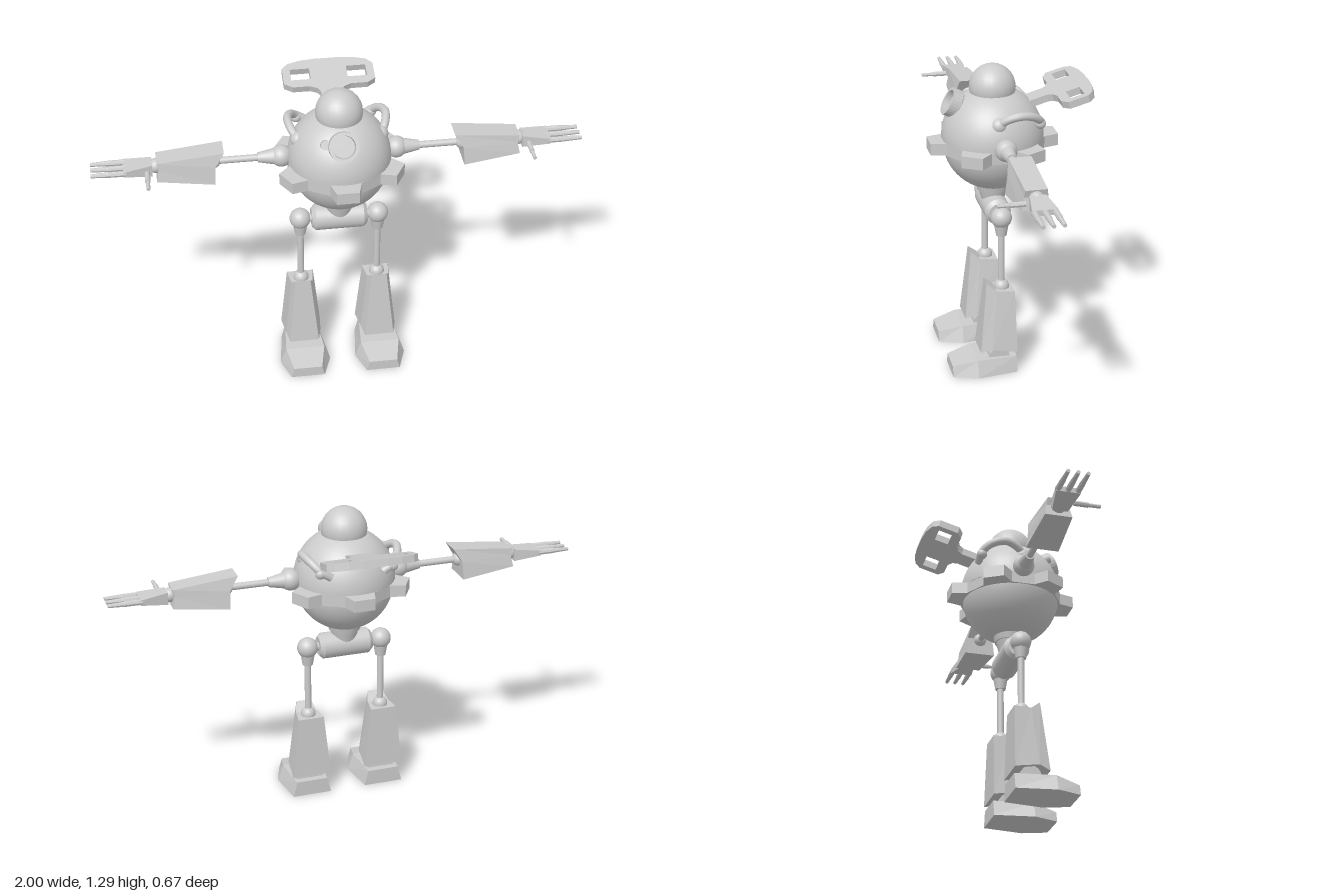
import * as THREE from 'three';

const Z = 0.07; // depth of the body axis
const smooth = new THREE.MeshStandardMaterial({ color: 0xcccccc });
const flat = new THREE.MeshStandardMaterial({ color: 0xcccccc, flatShading: true });
const open = new THREE.MeshStandardMaterial({ color: 0xcccccc, side: THREE.DoubleSide });

function add(parent, name, geo, pos = [0, 0, 0], mat = smooth) {
  const m = new THREE.Mesh(geo, mat);
  m.name = name;
  m.position.set(...pos);
  parent.add(m);
  return m;
}
const ball = (r) => new THREE.SphereGeometry(r, 24, 16);
const cyl = (rTop, rBottom, h, n = 20) => new THREE.CylinderGeometry(rTop, rBottom, h, n);
const cylX = (rOut, rIn, h, n) => cyl(rOut, rIn, h, n).rotateZ(-Math.PI / 2);

// Solid between two cross-sections, each given as its +x half from front to back.
function loft(low, high) {
  const v = [];
  const ring = (h) => [...h, ...h.map(([x, y, z]) => [-x, y, z]).reverse()];
  const quad = (a, b, c, d) => v.push(...a, ...b, ...c, ...a, ...c, ...d);
  const A = ring(low), B = ring(high), n = A.length;
  for (let i = 0; i < n; i++) {
    const j = (i + 1) % n;
    quad(A[i], A[j], B[j], B[i]);
  }
  for (let i = 0; i < n / 2 - 1; i++) {
    quad(B[i], B[i + 1], B[n - 2 - i], B[n - 1 - i]);
    quad(A[n - 1 - i], A[n - 2 - i], A[i + 1], A[i]);
  }
  const g = new THREE.BufferGeometry();
  g.setAttribute('position', new THREE.Float32BufferAttribute(v, 3));
  g.computeVertexNormals();
  return g;
}

function makeBody() {
  const g = new THREE.Group();
  g.name = 'body';
  g.position.z = Z;
  const half = Math.PI / 2;
  add(g, 'upperShell', new THREE.SphereGeometry(0.212, 40, 16, 0, Math.PI * 2, 0, half), [0, 0.985, 0]);
  add(g, 'upperRim', cyl(0.212, 0.212, 0.008, 40), [0, 0.982, 0]);
  add(g, 'lowerShell', new THREE.SphereGeometry(0.207, 40, 16, 0, Math.PI * 2, half, half), [0, 0.966, 0]);
  add(g, 'neckCollar', cyl(0.09, 0.095, 0.02, 32), [0, 1.163, 0]);
  add(g, 'head', ball(0.096), [0, 1.194, 0]);

  // toothed belt
  const belt = new THREE.Shape();
  for (let k = 0; k < 6; k++) {
    const a = Math.PI / 2 + k * Math.PI / 3;
    [[0.205, -0.062], [0.268, -0.045], [0.268, 0.045], [0.205, 0.062]].forEach(([r, t], i) => {
      const x = r * Math.cos(a) - t * Math.sin(a), y = r * Math.sin(a) + t * Math.cos(a);
      if (k + i === 0) belt.moveTo(x, y); else belt.lineTo(x, y);
    });
  }
  const beltGeo = new THREE.ExtrudeGeometry(belt, { depth: 0.05, bevelEnabled: false });
  add(g, 'toothedBelt', beltGeo.rotateX(-Math.PI / 2), [0, 0.932, 0], flat);
  return g;
}

// Hollow eye barrel with a recessed lens, and a small sight next to it
function makeEye() {
  const g = new THREE.Group();
  g.name = 'eye';
  g.position.set(-0.005, 1.145, 0.254);
  g.rotation.x = Math.PI / 2 - 0.5;
  const wall = [[0.052, -0.13], [0.052, -0.045], [0.06, -0.04], [0.06, 0], [0.047, 0], [0.045, -0.025], [0, -0.025]];
  const profile = wall.map(([x, y]) => new THREE.Vector2(x, y));
  add(g, 'eyeBarrel', new THREE.LatheGeometry(profile, 28), [0, 0, 0], new THREE.MeshStandardMaterial({ color: 0xcccccc, flatShading: true, side: THREE.DoubleSide }));
  add(g, 'sideSight', cyl(0.02, 0.02, 0.11), [-0.068, -0.085, -0.01]);
  return g;
}

// Tilted back plate with two windows
function makeBackPlate() {
  const s = new THREE.Shape();
  const side = [[0.043, 0], [0.043, 0.095], [0.055, 0.115], [0.085, 0.128], [0.155, 0.128], [0.19, 0.15],
    [0.19, 0.235], [0.165, 0.26], [0.11, 0.275], [0.05, 0.28]];
  const pts = [...side, ...side.map(([x, y]) => [-x, y]).reverse()];
  s.setFromPoints(pts.map((p) => new THREE.Vector2(...p)));
  for (const d of [-1, 1]) {
    const hole = new THREE.Path();
    hole.setFromPoints([[0.077, 0.168], [0.077, 0.227], [0.158, 0.227], [0.158, 0.168]]
      .map(([x, y]) => new THREE.Vector2(d * x, y)));
    s.holes.push(hole);
  }
  const geo = new THREE.ExtrudeGeometry(s, { depth: 0.03, bevelEnabled: false });
  const m = new THREE.Mesh(geo, flat);
  m.name = 'backPlate';
  m.position.set(0, 1.1, -0.065);
  m.rotation.x = -1.3;
  return m;
}

// Curved pipe from the shoulder to the back
function makePipe(d) {
  const g = new THREE.Group();
  g.name = d > 0 ? 'leftPipe' : 'rightPipe';
  const path = [[0.16, 1.07, 0.085], [0.185, 1.105, 0.06], [0.2, 1.127, 0.0], [0.185, 1.115, -0.06],
    [0.155, 1.085, -0.095], [0.11, 1.055, -0.1]].map(([x, y, z]) => new THREE.Vector3(d * x, y, z));
  add(g, 'pipe', new THREE.TubeGeometry(new THREE.CatmullRomCurve3(path), 30, 0.017, 12), [0, 0, 0], open);
  add(g, 'pipeSocket', ball(0.034), [d * 0.165, 1.082, 0.08]);
  add(g, 'pipeJoint', ball(0.022), [d * 0.155, 1.075, -0.095]);
  return g;
}

// Arm built along +x; the right one is turned round
function makeArm(d) {
  const g = new THREE.Group();
  g.name = d > 0 ? 'leftArm' : 'rightArm';
  g.position.set(0, 1.0, Z - 0.005);
  if (d < 0) g.rotation.y = Math.PI;
  add(g, 'shoulderBall', ball(0.045), [0.235, 0, 0]);
  add(g, 'shoulderCone', cylX(0.02, 0.034, 0.07), [0.295, 0, 0]);
  add(g, 'upperArmRod', cylX(0.014, 0.014, 0.24), [0.42, 0, 0]);
  add(g, 'elbowBall', ball(0.03), [0.51, 0, 0]);
  // local x -> z, y -> x, z -> y
  const turn = new THREE.Matrix4().makeBasis(
    new THREE.Vector3(0, 0, 1), new THREE.Vector3(1, 0, 0), new THREE.Vector3(0, 1, 0));
  const forearm = loft(
    [[0.046, 0.468, 0.063], [0.058, 0.505, 0.005], [0.068, 0.508, -0.07]],
    [[0.043, 0.738, 0.035], [0.047, 0.73, 0.005], [0.056, 0.74, -0.043]]);
  add(g, 'forearm', forearm.applyMatrix4(turn), [0, 0, 0], flat);
  add(g, 'wristBall', ball(0.03), [0.74, 0, 0]);
  const palm = loft(
    [[0.032, 0.755, 0.022], [0.032, 0.755, -0.03]],
    [[0.05, 0.87, 0.01], [0.05, 0.87, -0.012]]);
  add(g, 'palm', palm.applyMatrix4(turn), [0, 0, 0], flat);
  for (const z of [-0.04, 0, 0.04]) {
    add(g, 'fingerBase', cylX(0.012, 0.012, 0.07, 8), [0.895, 0, z], flat);
    add(g, 'fingerKnuckle', ball(0.011), [0.93, 0, z]);
    add(g, 'fingerTip', cylX(0.008, 0.011, 0.068, 8), [0.966, 0, z], flat);
  }
  add(g, 'thumbBase', cyl(0.011, 0.011, 0.06, 8).rotateX(Math.PI / 2), [0.776, 0, d * 0.08], flat);
  add(g, 'thumbTip', cyl(0.008, 0.008, 0.07, 8).rotateX(Math.PI / 2), [0.776, 0, d * 0.125], flat);
  return g;
}

function makeLeg(d) {
  const g = new THREE.Group();
  g.name = d > 0 ? 'leftLeg' : 'rightLeg';
  g.position.x = d * 0.163;
  add(g, 'hipBall', ball(0.044), [0, 0.68, Z]);
  add(g, 'hipSocket', cyl(0.03, 0.022, 0.045), [0, 0.625, Z]);
  add(g, 'thighRod', cyl(0.014, 0.014, 0.25), [0, 0.5, Z]);
  add(g, 'kneeBall', ball(0.032), [0, 0.37, Z]);
  const shin = loft(
    [[0.062, 0.095, 0.172], [0.075, 0.112, 0.125], [0.085, 0.093, 0.02]],
    [[0.032, 0.4, 0.14], [0.046, 0.367, 0.1], [0.056, 0.365, 0.025]]);
  add(g, 'shin', shin, [0, 0, 0], flat);
  add(g, 'ankle', cylX(0.043, 0.043, 0.12, 24), [0, 0.068, 0.092]);
  const foot = loft(
    [[0.072, 0, 0.293], [0.108, 0, 0.19], [0.085, 0, 0.02]],
    [[0.06, 0.045, 0.293], [0.083, 0.07, 0.19], [0.068, 0.068, 0.02]]);
  add(g, 'foot', foot, [0, 0, 0], flat);
  return g;
}

function makeHips() {
  const g = new THREE.Group();
  g.name = 'hips';
  g.position.z = Z;
  add(g, 'waistRing', cyl(0.072, 0.066, 0.025, 28), [0, 0.76, 0]);
  add(g, 'waist', cyl(0.062, 0.046, 0.06, 28), [0, 0.722, 0]);
  add(g, 'hipBar', cylX(0.055, 0.055, 0.2, 28), [0, 0.68, 0]);
  for (const d of [-1, 1]) {
    add(g, 'hipBarEnd', cylX(d > 0 ? 0.04 : 0.055, d > 0 ? 0.055 : 0.04, 0.016, 28), [d * 0.108, 0.68, 0]);
    add(g, 'hipAxle', cylX(0.018, 0.018, 0.04), [d * 0.125, 0.68, 0]);
  }
  return g;
}

export function createModel() {
  const model = new THREE.Group();
  model.name = 'robot';
  model.add(makeBody(), makeEye(), makeBackPlate(), makeHips());
  for (const d of [-1, 1]) model.add(makePipe(d), makeArm(d), makeLeg(d));
  return model;
}
